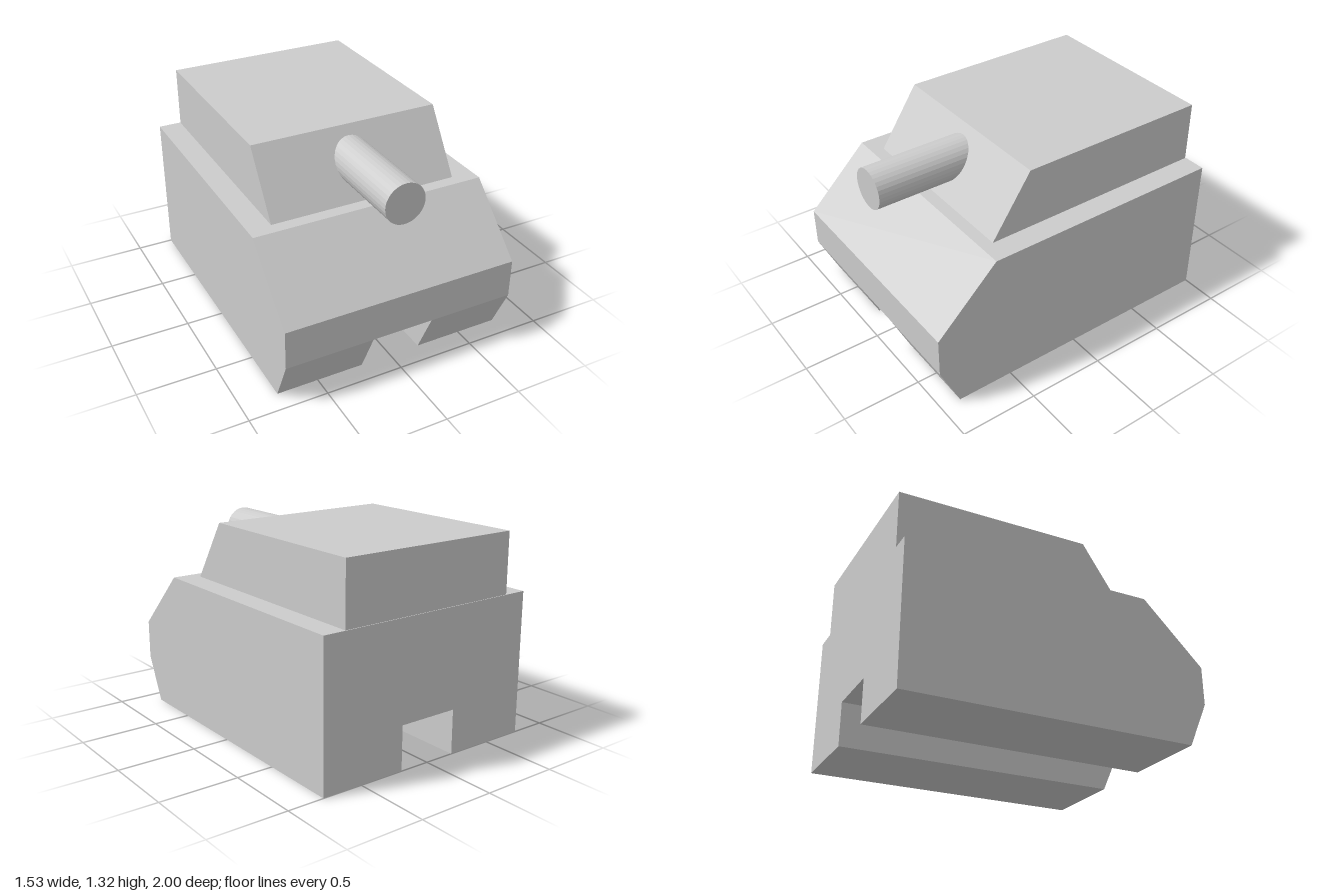
import * as THREE from 'three';

const material = new THREE.MeshStandardMaterial({ color: 0xcccccc, flatShading: true });

// Extrudes a side profile of [z, y] points across the model from x0 to x1.
function slab(name, profile, x0, x1) {
  const shape = new THREE.Shape(profile.map(([z, y]) => new THREE.Vector2(z, y)));
  const geometry = new THREE.ExtrudeGeometry(shape, { depth: x1 - x0, bevelEnabled: false });
  geometry.rotateY(-Math.PI / 2).translate(x1, 0, 0);
  const mesh = new THREE.Mesh(geometry, material);
  mesh.name = name;
  return mesh;
}

export function createModel() {
  const model = new THREE.Group();
  model.name = 'tank';

  const halfWidth = 0.765, trackInner = 0.2, bellyY = 0.285, deckY = 0.925;

  // Hull with a sloped front plate
  model.add(slab('hull', [
    [-1, bellyY], [1, bellyY], [1, 0.535], [0.6, deckY], [-1, deckY],
  ], -halfWidth, halfWidth));

  // Track blocks on either side of the belly channel
  const trackProfile = [[-1, 0], [0.87, 0], [1, bellyY], [-1, bellyY]];
  model.add(slab('leftTrack', trackProfile, trackInner, halfWidth));
  model.add(slab('rightTrack', trackProfile, -halfWidth, -trackInner));

  // Turret with a raked front face
  model.add(slab('turret', [
    [-0.995, deckY], [0.52, deckY], [0.26, 1.315], [-0.995, 1.315],
  ], -0.617, 0.617));

  // Gun barrel, its rear end sunk into the turret
  const barrelFront = 0.96, barrelBack = 0.2;
  const barrel = new THREE.Mesh(
    new THREE.CylinderGeometry(0.13, 0.13, barrelFront - barrelBack, 32).rotateX(Math.PI / 2),
    material,
  );
  barrel.name = 'gunBarrel';
  barrel.position.set(0, 1.128, (barrelFront + barrelBack) / 2);
  model.add(barrel);

  return model;
}
